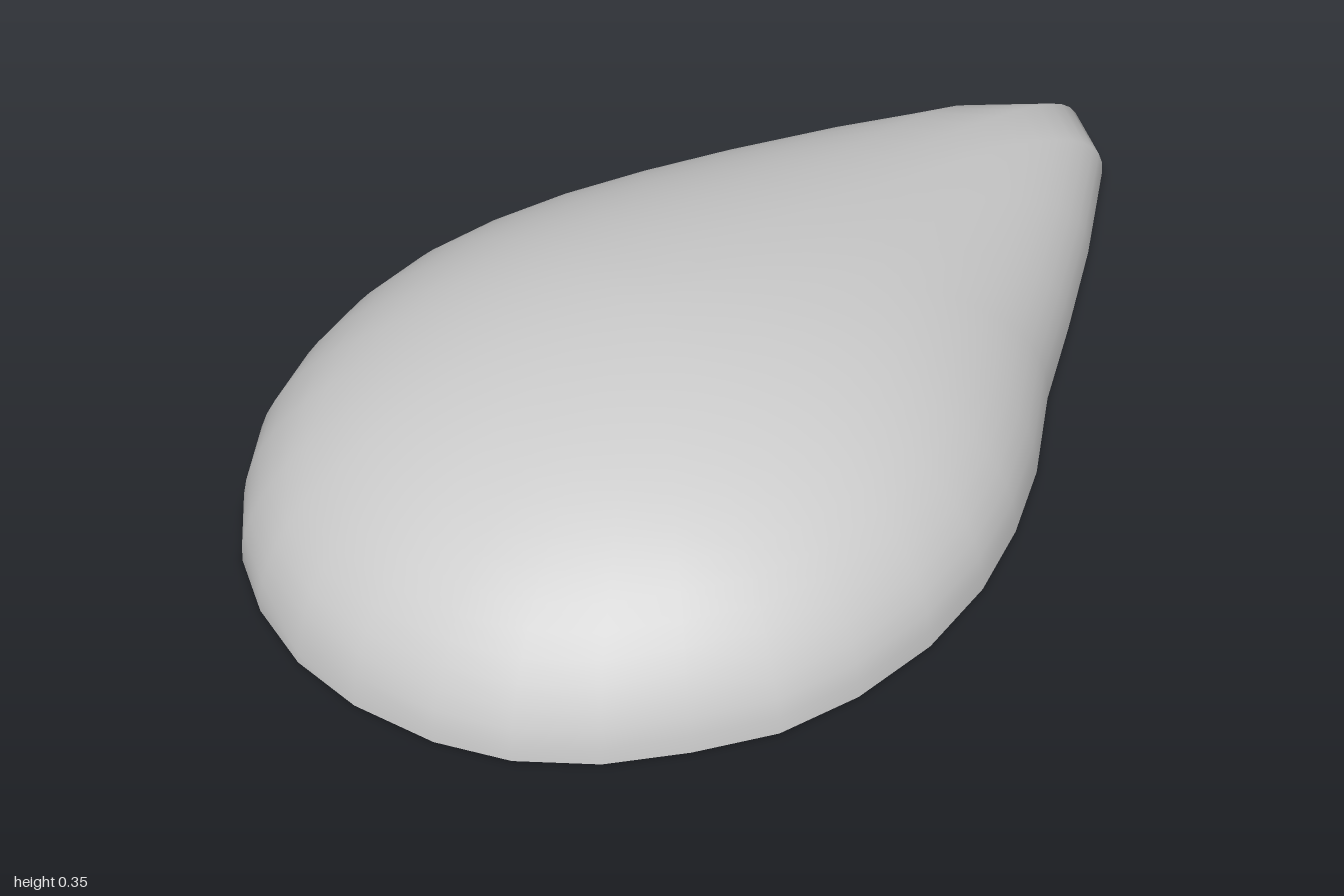
import * as THREE from 'three';

// Plan outline as [x, z], each side running from the rear tip to the rounded front
const left = [[-0.06, -1], [-0.19, -0.87], [-0.31, -0.62], [-0.41, -0.37], [-0.49, -0.17], [-0.56, 0.02],
  [-0.6, 0.18], [-0.615, 0.34], [-0.6, 0.49], [-0.56, 0.62], [-0.5, 0.74], [-0.41, 0.84], [-0.31, 0.92],
  [-0.2, 0.97], [-0.07, 1]];
const right = [[-0.06, -1], [0.06, -0.91], [0.2, -0.66], [0.31, -0.44], [0.4, -0.25], [0.5, -0.08], [0.56, 0.06],
  [0.6, 0.2], [0.615, 0.35], [0.6, 0.5], [0.56, 0.63], [0.49, 0.74], [0.41, 0.84], [0.31, 0.92],
  [0.2, 0.97], [0.06, 1]];
const outline = [...left, ...right.slice(1).reverse()];
const crestZ = 0.3;

// x of one side of the outline at a given z
function sideX(side, z) {
  let i = 1;
  while (i < side.length - 1 && side[i][1] < z) i++;
  const [x0, z0] = side[i - 1];
  const [x1, z1] = side[i];
  return x0 + (x1 - x0) * (z - z0) / (z1 - z0);
}

// Height of the spine: elliptical in front, a long taper to the rear
function spineHeight(z) {
  const t = Math.min(1, z > crestZ ? (z - crestZ) / 0.7 : (crestZ - z) / 1.3);
  return 0.35 * Math.pow(1 - t * t, z > crestZ ? 0.5 : 1.4 - 0.9 * t);
}

// Half-elliptical cross-section under the spine
function domeY(x, z) {
  const a = sideX(left, z);
  const b = sideX(right, z);
  const u = (2 * x - a - b) / (b - a);
  return spineHeight(z) * Math.sqrt(Math.max(0, 1 - u * u));
}

// Dome made of concentric copies of the outline
function domeGeometry(rings) {
  const n = outline.length;
  const pos = [0, 0.35, crestZ];
  const index = [];
  for (let k = 1; k <= rings; k++) {
    const s = Math.sin(k / rings * Math.PI / 2);
    for (let i = 0; i < n; i++) {
      const x = outline[i][0] * s;
      const z = crestZ + (outline[i][1] - crestZ) * s;
      pos.push(x, k === rings ? 0 : domeY(x, z), z);
      const j = (i + 1) % n;
      const p = 1 + (k - 1) * n;
      if (k === 1) index.push(0, p + i, p + j);
      else index.push(p - n + i, p + i, p + j, p - n + i, p + j, p - n + j);
    }
  }
  const geo = new THREE.BufferGeometry();
  geo.setAttribute('position', new THREE.Float32BufferAttribute(pos, 3));
  geo.setIndex(index);
  geo.computeVertexNormals();
  return geo;
}

export function createModel() {
  const group = new THREE.Group();
  group.name = 'teardropDome';
  const material = new THREE.MeshStandardMaterial({ color: 0xcccccc });

  const dome = new THREE.Mesh(domeGeometry(18), material);
  dome.name = 'dome';

  // Flat underside
  const shape = new THREE.Shape(outline.map(([x, z]) => new THREE.Vector2(x, z)));
  const base = new THREE.Mesh(new THREE.ShapeGeometry(shape).rotateX(Math.PI / 2), material);
  base.name = 'flatBase';

  group.add(dome, base);
  return group;
}
